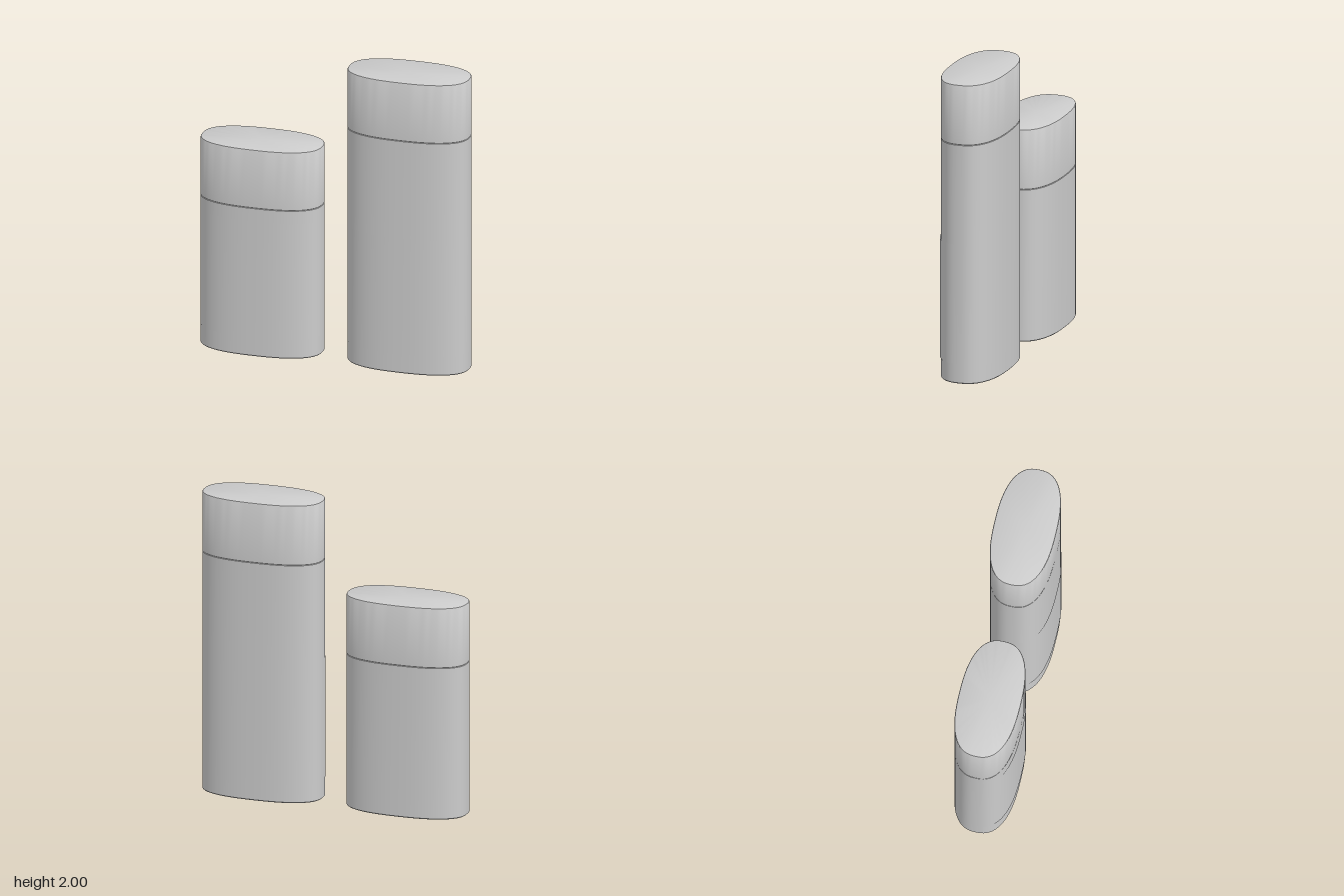
import * as THREE from 'three';
import { toCreasedNormals } from 'three/addons/utils/BufferGeometryUtils.js';

const HX = 0.405, HZ = 0.202, SEGMENTS = 72;

// Lofts flattened-oval rings; each row is [y, halfWidth, halfDepth]
function loft(rows, start = 0, end = Math.PI * 2) {
  const positions = [], index = [], power = 2 / 2.5;
  const curve = (v) => Math.sign(v) * Math.pow(Math.abs(v), power);
  for (const [y, hx, hz] of rows) {
    for (let i = 0; i <= SEGMENTS; i++) {
      const t = start + (end - start) * i / SEGMENTS;
      const c = Math.cos(t), s = Math.sin(t);
      positions.push(hx * curve(Math.abs(c) < 1e-9 ? 0 : c), y, hz * curve(Math.abs(s) < 1e-9 ? 0 : s));
    }
  }
  const n = SEGMENTS + 1;
  for (let r = 0; r < rows.length - 1; r++) {
    for (let i = 0; i < SEGMENTS; i++) {
      const a = r * n + i, b = a + n;
      index.push(a, b, a + 1, a + 1, b, b + 1);
    }
  }
  const geometry = new THREE.BufferGeometry();
  geometry.setAttribute('position', new THREE.Float32BufferAttribute(positions, 3));
  geometry.setIndex(index);
  return toCreasedNormals(geometry, 0.6);
}

const ring = (y, inset) => [y, HX - inset, HZ - inset];
const centre = (y) => [y, 0, 0];

function createContainer(name, height) {
  const group = new THREE.Group();
  group.name = name;
  const material = new THREE.MeshStandardMaterial({ color: 0xcccccc });
  const add = (partName, geometry, mat = material) => {
    const mesh = new THREE.Mesh(geometry, mat);
    mesh.name = partName;
    group.add(mesh);
  };
  const seam = height - 0.4;

  // Body with a shallow recess under the base
  add('body', loft([
    centre(0.025), ring(0.025, 0.022), ring(0.006, 0.018), ring(0, 0.012),
    ring(0, 0.006), ring(0.006, 0), ring(seam - 0.003, 0), ring(seam, 0.003), centre(seam),
  ]));

  // Lid with a finely bevelled top edge
  add('cap', loft([
    centre(seam), ring(seam, 0.003), ring(seam + 0.003, 0),
    ring(height - 0.008, 0), ring(height - 0.002, 0.003), ring(height, 0.008), centre(height),
  ]));

  // Thin blank panel wrapped over the front half
  const panel = material.clone();
  panel.side = THREE.DoubleSide;
  add('frontPanel', loft(
    [[0.13, HX + 0.001, HZ + 0.005], [0.93, HX + 0.001, HZ + 0.005]],
    0.02, Math.PI - 0.02,
  ), panel);
  return group;
}

export function createModel() {
  const model = new THREE.Group();
  model.name = 'ovalContainers';
  const short = createContainer('shortContainer', 1.42);
  short.position.set(-0.495, 0, -0.006);
  const tall = createContainer('tallContainer', 2);
  tall.position.set(0.49, 0, 0);
  model.add(short, tall);
  return model;
}
